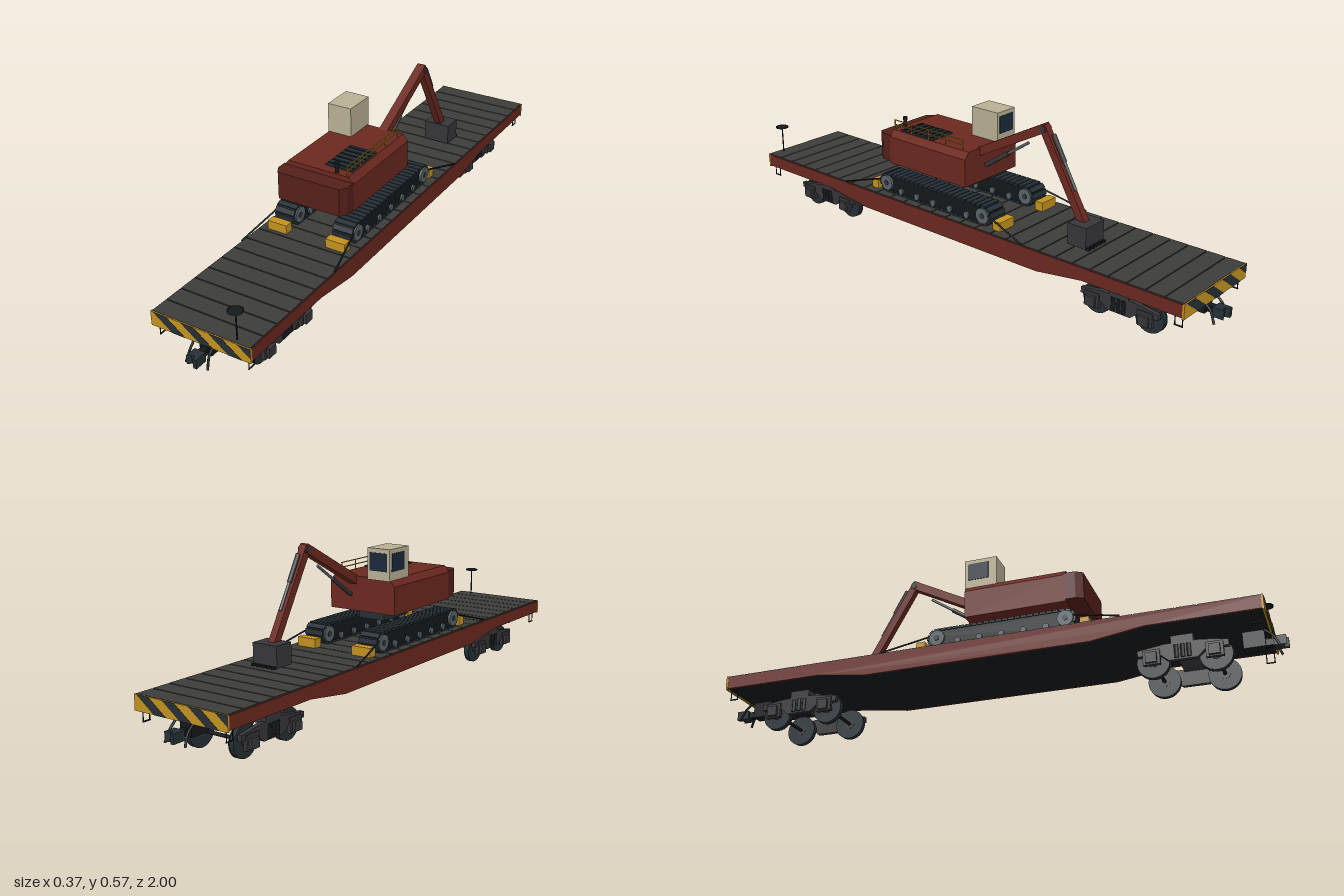
import * as THREE from 'three';

const mat = (color) => new THREE.MeshStandardMaterial({ color });
const RED = mat(0x6b281f), DARK_RED = mat(0x55201a), YELLOW = mat(0xc4931f), BEIGE = mat(0xb9b195);
const PLANK = mat(0x3c3c3a), BLACK = mat(0x14191c), SLATE = mat(0x263036), IRON = mat(0x37373a);
const STEEL = mat(0x59646a), GLASS = mat(0x1c2a3c);

function add(parent, name, geo, material, x = 0, y = 0, z = 0) {
  const m = new THREE.Mesh(geo, material);
  m.name = name;
  m.position.set(x, y, z);
  parent.add(m);
  return m;
}
function group(parent, name) {
  const g = new THREE.Group();
  g.name = name;
  parent.add(g);
  return g;
}
// box given by its lowest and highest corner
const block = (p, name, m, x0, x1, y0, y1, z0, z1) =>
  add(p, name, new THREE.BoxGeometry(x1 - x0, y1 - y0, z1 - z0), m, (x0 + x1) / 2, (y0 + y1) / 2, (z0 + z1) / 2);
// straight bar between two points: square when h is given, else round
function bar(p, name, m, a, b, w, h) {
  const A = new THREE.Vector3(...a), B = new THREE.Vector3(...b), len = A.distanceTo(B);
  const geo = h ? new THREE.BoxGeometry(w, h, len) : new THREE.CylinderGeometry(w, w, len, 10).rotateX(Math.PI / 2);
  const o = add(p, name, geo, m);
  o.position.copy(A).lerp(B, 0.5);
  o.lookAt(B);
  return o;
}
const shapeOf = (pts) => new THREE.Shape(pts.map(([x, y]) => new THREE.Vector2(x, y)));
const extrude = (shape, depth) => new THREE.ExtrudeGeometry(shape, { depth, bevelEnabled: false, curveSegments: 12 });
// (z, y) outline extruded across x and centred
const acrossX = (shape, w) => extrude(shape, w).translate(0, 0, -w / 2).rotateY(-Math.PI / 2);
const discX = (r, w, n = 20) => new THREE.CylinderGeometry(r, r, w, n).rotateZ(Math.PI / 2);

function buildDeck(root) {
  const g = group(root, 'flatWagonBody');
  const profile = shapeOf([[-0.95, 0.146], [-0.58, 0.146], [-0.4, 0.12], [0.4, 0.12], [0.58, 0.146],
    [0.95, 0.146], [0.95, 0.19], [-0.95, 0.19]]);
  add(g, 'underframe', acrossX(profile, 0.35), BLACK);
  for (const s of [-1, 1]) add(g, 'sideSill', acrossX(profile, 0.007), RED, s * 0.1785);
  const n = 28, pitch = 1.9 / n;
  for (let i = 0; i < n; i++) {
    const z = -0.95 + i * pitch;
    block(g, 'deckPlank', PLANK, -0.179, 0.179, 0.188, 0.194, z + 0.002, z + pitch - 0.002);
  }
}

// everything mounted on one end of the wagon, built facing +z
function buildEnd(root, name, turn) {
  const g = group(root, name);
  const hw = 0.183, top = 0.193, bottom = 0.142, slant = 0.07;
  block(g, 'endPlate', YELLOW, -hw, hw, bottom, top, 0.945, 0.952);
  const foot = (a) => {
    const t = Math.min(1, (hw - a) / slant);
    return [a + slant * t, top - (top - bottom) * t];
  };
  for (let i = 0; i < 4; i++) {
    const a = -0.173 + i * 0.103, b = Math.min(a + 0.048, hw);
    add(g, 'warningStripe', extrude(shapeOf([[a, top], foot(a), foot(b), [b, top]]), 0.001), SLATE, 0, 0, 0.952);
  }
  // coupler
  block(g, 'couplerShank', BLACK, -0.011, 0.011, 0.095, 0.117, 0.88, 0.975);
  block(g, 'couplerPocket', BLACK, -0.022, 0.022, 0.09, 0.146, 0.86, 0.93);
  const head = shapeOf([[-0.02, 0.955], [0.02, 0.955], [0.02, 1], [0.008, 1], [0.003, 0.985], [-0.008, 0.985], [-0.02, 0.995]]);
  add(g, 'couplerHead', extrude(head, 0.032).rotateX(Math.PI / 2), SLATE, 0, 0.121, 0);
  for (const s of [-1, 1]) {
    const hose = new THREE.CatmullRomCurve3([[0.035, 0.14, 0.93], [0.035, 0.115, 0.957], [0.037, 0.095, 0.967],
      [0.04, 0.077, 0.975]].map(([x, y, z]) => new THREE.Vector3(s * x, y, z)));
    add(g, 'airHose', new THREE.TubeGeometry(hose, 12, 0.004, 8), BLACK);
    // stirrup step
    for (const z of [0.912, 0.938]) bar(g, 'stepHanger', BLACK, [s * 0.164, 0.15, z], [s * 0.164, 0.106, z], 0.0018);
    bar(g, 'stepTread', BLACK, [s * 0.164, 0.107, 0.91], [s * 0.164, 0.107, 0.94], 0.0025);
  }
  g.rotation.y = turn;
}

function buildBogie(root, cz) {
  const g = group(root, 'bogie');
  g.position.z = cz;
  block(g, 'bolster', IRON, -0.121, 0.121, 0.092, 0.125, -0.036, 0.036);
  add(g, 'centrePivot', new THREE.CylinderGeometry(0.035, 0.035, 0.04, 20), BLACK, 0, 0.13, 0);
  const frame = shapeOf([[-0.145, 0.068], [-0.075, 0.068], [-0.045, 0.042], [0.045, 0.042], [0.075, 0.068], [0.145, 0.068],
    [0.145, 0.088], [0.06, 0.1], [-0.06, 0.1], [-0.145, 0.088]]);
  for (const z of [-0.1, 0.1]) {
    add(g, 'axle', discX(0.006, 0.24, 12), BLACK, 0, 0.055, z);
    for (const s of [-1, 1]) {
      add(g, 'wheelTread', discX(0.053, 0.016, 28), SLATE, s * 0.088, 0.0535, z);
      add(g, 'wheelFlange', discX(0.0545, 0.004, 28), SLATE, s * 0.079, 0.0545, z);
      add(g, 'wheelHub', discX(0.018, 0.024), IRON, s * 0.088, 0.055, z);
      block(g, 'axleBox', IRON, s * 0.119 - 0.007, s * 0.119 + 0.007, 0.035, 0.085, z - 0.028, z + 0.028);
      block(g, 'axleBoxCover', IRON, s * 0.13 - 0.006, s * 0.13 + 0.006, 0.039, 0.074, z - 0.018, z + 0.018);
    }
  }
  for (const s of [-1, 1]) {
    add(g, 'sideFrame', acrossX(frame, 0.016), IRON, s * 0.113);
    for (const z of [-0.02, 0, 0.02]) add(g, 'spring', new THREE.CylinderGeometry(0.008, 0.008, 0.045, 10), BLACK, s * 0.118, 0.07, z);
  }
}

function buildTrack(root, s) {
  const g = group(root, s > 0 ? 'leftTrack' : 'rightTrack');
  g.position.x = s * 0.1135;
  const zA = -0.145, zB = 0.312, cy = 0.231, r = 0.032;
  const belt = new THREE.Shape();
  belt.absarc(zB, cy, r, -Math.PI / 2, Math.PI / 2);
  belt.absarc(zA, cy, r, Math.PI / 2, Math.PI * 1.5);
  add(g, 'trackBelt', acrossX(belt, 0.066), BLACK);
  // shoes spaced evenly round the belt
  const L = zB - zA, arc = Math.PI * r, total = 2 * (L + arc), n = 50;
  for (let i = 0; i < n; i++) {
    let d = (i * total) / n, z, y, t;
    if (d < L) { z = zA + d; y = cy + r; t = 0; }
    else if (d < L + arc) { t = (d - L) / r; z = zB + Math.sin(t) * r; y = cy + Math.cos(t) * r; }
    else if (d < 2 * L + arc) { z = zB - (d - L - arc); y = cy - r; t = Math.PI; }
    else { t = Math.PI + (d - 2 * L - arc) / r; z = zA + Math.sin(t) * r; y = cy + Math.cos(t) * r; }
    add(g, 'trackShoe', new THREE.BoxGeometry(0.075, 0.008, 0.0185), SLATE, 0, y, z).rotation.x = t;
  }
  for (const [name, z] of [['idler', zA], ['sprocket', zB]]) {
    add(g, name, discX(0.028, 0.084, 20), STEEL, 0, cy, z);
    add(g, name + 'Hub', discX(0.01, 0.088, 14), IRON, 0, cy, z);
  }
  for (let i = 0; i < 5; i++) add(g, 'trackRoller', discX(0.011, 0.078, 14), STEEL, 0, 0.213, -0.07 + i * 0.0785);
}

function buildLashing(root, s) {
  const g = group(root, 'lashing');
  for (const [z0, z1] of [[0.36, 0.392], [-0.222, -0.19]])
    block(g, 'chock', YELLOW, s * 0.1135 - 0.037, s * 0.1135 + 0.037, 0.193, 0.226, z0, z1);
  bar(g, 'tieDown', BLACK, [s * 0.18, 0.195, 0.5], [s * 0.152, 0.241, 0.335], 0.003);
  bar(g, 'tieDown', BLACK, [s * 0.18, 0.195, -0.335], [s * 0.152, 0.241, -0.165], 0.003);
}

function buildUpper(root) {
  const g = group(root, 'excavatorUpper');
  block(g, 'slewMount', SLATE, -0.054, 0.054, 0.265, 0.305, 0.005, 0.155);
  const body = shapeOf([[-0.134, 0.303], [0.134, 0.303], [0.134, 0.402], [0.115, 0.425], [-0.115, 0.425], [-0.134, 0.402]]);
  add(g, 'engineHouse', extrude(body, 0.362), RED, 0, 0, -0.052);
  const weight = shapeOf([[-0.134, 0.305], [0.134, 0.305], [0.134, 0.345], [0.117, 0.37], [-0.117, 0.37], [-0.134, 0.345]]);
  add(g, 'counterweight', extrude(weight, 0.098).rotateX(Math.PI / 2), DARK_RED, 0, 0.408, 0);
  // roof fittings
  block(g, 'engineGrille', SLATE, 0.008, 0.11, 0.424, 0.43, 0.12, 0.275);
  for (let i = 0; i < 6; i++) block(g, 'grilleSlat', BLACK, 0.012, 0.106, 0.43, 0.432, 0.13 + i * 0.025, 0.14 + i * 0.025);
  add(g, 'exhaustPipe', new THREE.CylinderGeometry(0.0065, 0.0065, 0.04, 12), BLACK, 0.066, 0.443, 0.298);
  add(g, 'exhaustCap', new THREE.CylinderGeometry(0.008, 0.008, 0.012, 12), BLACK, 0.066, 0.457, 0.298);
  for (let i = 0; i < 5; i++) {
    const z = 0.305 - i * 0.0815;
    bar(g, 'railPost', YELLOW, [0.109, 0.423, z], [0.109, 0.461, z], 0.002);
  }
  for (const y of [0.443, 0.46]) bar(g, 'handrail', YELLOW, [0.109, y, 0.307], [0.109, y, -0.023], 0.002);
  // cab, glazed ahead and on the outer side
  block(g, 'cab', BEIGE, -0.118, -0.027, 0.42, 0.53, -0.058, 0.06);
  block(g, 'windscreen', GLASS, -0.108, -0.037, 0.452, 0.515, -0.06, -0.056);
  block(g, 'sideWindow', GLASS, -0.12, -0.116, 0.452, 0.515, -0.045, 0.03);
}

function buildArm(root) {
  const g = group(root, 'diggingArm'), x = 0.041;
  bar(g, 'boom', RED, [x, 0.402, -0.03], [x, 0.558, -0.325], 0.032, 0.03);
  bar(g, 'stick', RED, [x, 0.562, -0.312], [x, 0.262, -0.487], 0.026, 0.028);
  add(g, 'elbowPin', discX(0.012, 0.036, 14), IRON, x, 0.552, -0.318);
  bar(g, 'boomCylinder', IRON, [x, 0.362, -0.065], [x, 0.43, -0.166], 0.008);
  bar(g, 'boomRod', STEEL, [x, 0.43, -0.166], [x, 0.487, -0.25], 0.005);
  bar(g, 'stickCylinder', IRON, [x, 0.54, -0.352], [x, 0.455, -0.4], 0.008);
  bar(g, 'stickRod', STEEL, [x, 0.455, -0.4], [x, 0.37, -0.448], 0.005);
  block(g, 'bucket', IRON, -0.008, 0.09, 0.203, 0.276, -0.528, -0.455);
  for (let i = 0; i < 5; i++) block(g, 'bucketTooth', BLACK, -0.006 + i * 0.0205, 0.006 + i * 0.0205, 0.201, 0.209, -0.54, -0.526);
}

export function createModel() {
  const root = new THREE.Group();
  root.name = 'flatWagonWithExcavator';
  buildDeck(root);
  buildEnd(root, 'frontEnd', 0);
  buildEnd(root, 'rearEnd', Math.PI);
  for (const z of [-0.683, 0.683]) buildBogie(root, z);
  // handbrake column
  bar(root, 'brakeColumn', BLACK, [0.124, 0.19, 0.933], [0.124, 0.295, 0.933], 0.0025);
  add(root, 'brakeWheel', new THREE.CylinderGeometry(0.022, 0.022, 0.002, 24), BLACK, 0.124, 0.295, 0.933);
  add(root, 'brakeWheelRim', new THREE.TorusGeometry(0.0225, 0.0025, 8, 24).rotateX(Math.PI / 2), BLACK, 0.124, 0.295, 0.933);
  for (const s of [-1, 1]) {
    buildTrack(root, s);
    buildLashing(root, s);
  }
  buildUpper(root);
  buildArm(root);
  return root;
}
